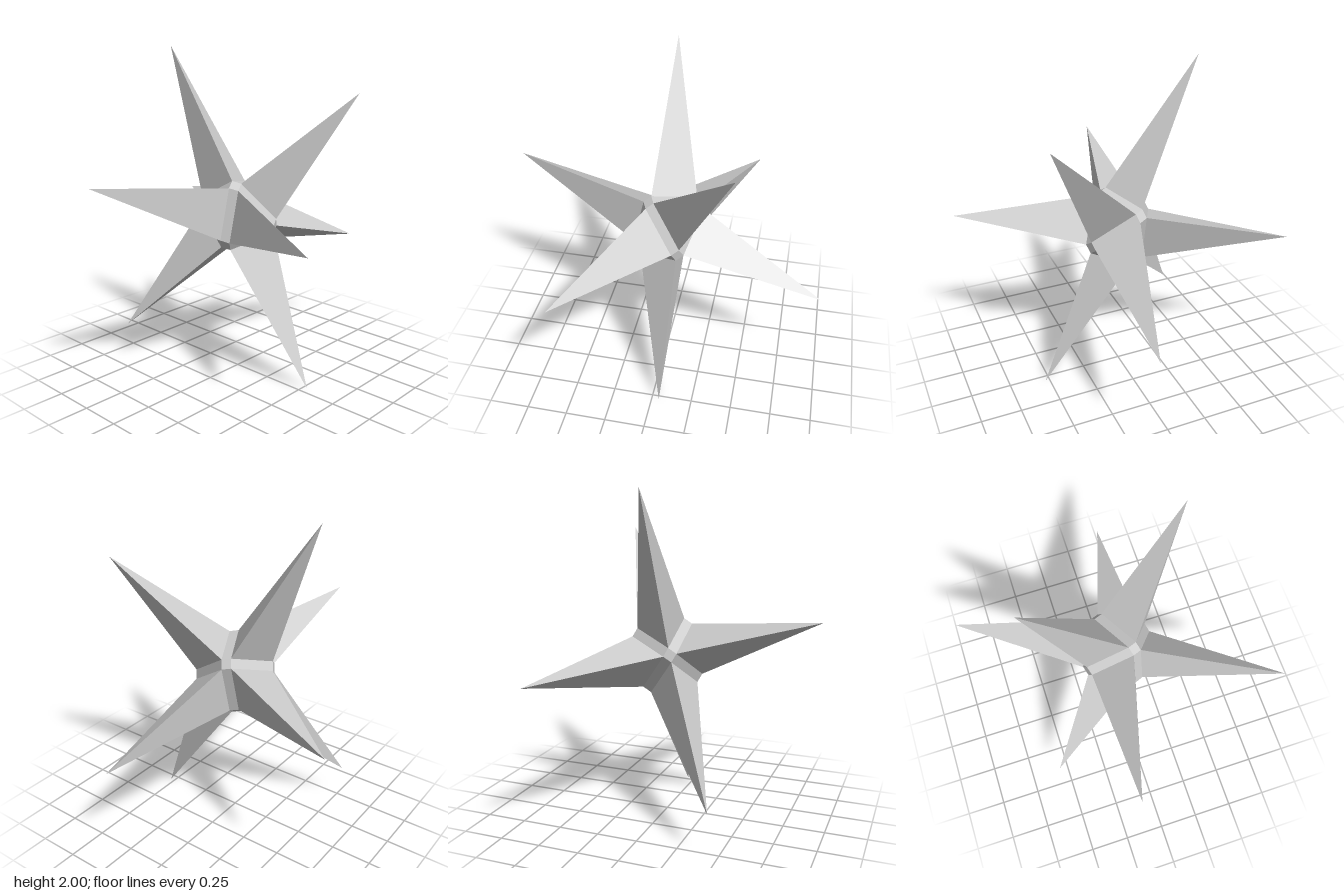
import * as THREE from 'three';
import { ConvexGeometry } from 'three/addons/geometries/ConvexGeometry.js';

// Half-edges of the slightly stretched, tilted cube whose corners are the spike tips
const AXES = [
  new THREE.Vector3(-0.54, 0.13, 0.245),
  new THREE.Vector3(-0.1775, 0.355, -0.46),
  new THREE.Vector3(0.19, 0.515, 0.26),
];
const REACH = 0.4;   // how far the core reaches along each axis
const BEVEL = 0.048; // half width of the bevel strips

const place = (u, v, w) => new THREE.Vector3()
  .addScaledVector(AXES[0], u)
  .addScaledVector(AXES[1], v)
  .addScaledVector(AXES[2], w);

// Three-sided spike from a base triangle to a tip, always facing outwards
function spikeGeometry(base, tip) {
  const [a, b, c] = base;
  const normal = b.clone().sub(a).cross(c.clone().sub(a));
  const ring = normal.dot(tip.clone().sub(a)) > 0 ? [a, b, c] : [a, c, b];
  const points = [];
  for (let i = 0; i < 3; i++) points.push(ring[i], ring[(i + 1) % 3], tip);
  const geometry = new THREE.BufferGeometry().setFromPoints(points);
  geometry.computeVertexNormals();
  return geometry;
}

export function createModel() {
  const model = new THREE.Group();
  model.name = 'spikedStar';
  const material = new THREE.MeshStandardMaterial({ color: 0xcccccc, flatShading: true });
  const corePoints = [];
  const spikes = new THREE.Group();
  spikes.name = 'spikes';

  // One spike per octant, standing on a triangular face of the core
  for (const u of [-1, 1]) for (const v of [-1, 1]) for (const w of [-1, 1]) {
    const base = [
      place(u * REACH, v * BEVEL, w * BEVEL),
      place(u * BEVEL, v * REACH, w * BEVEL),
      place(u * BEVEL, v * BEVEL, w * REACH),
    ];
    corePoints.push(...base);
    const spike = new THREE.Mesh(spikeGeometry(base, place(u, v, w)), material);
    spike.name = 'spike';
    spikes.add(spike);
  }

  // Bevelled octahedral core: its strips and small end faces show between the spikes
  const core = new THREE.Mesh(new ConvexGeometry(corePoints), material);
  core.name = 'core';
  model.add(core, spikes);
  core.position.y = spikes.position.y = 1;
  return model;
}
